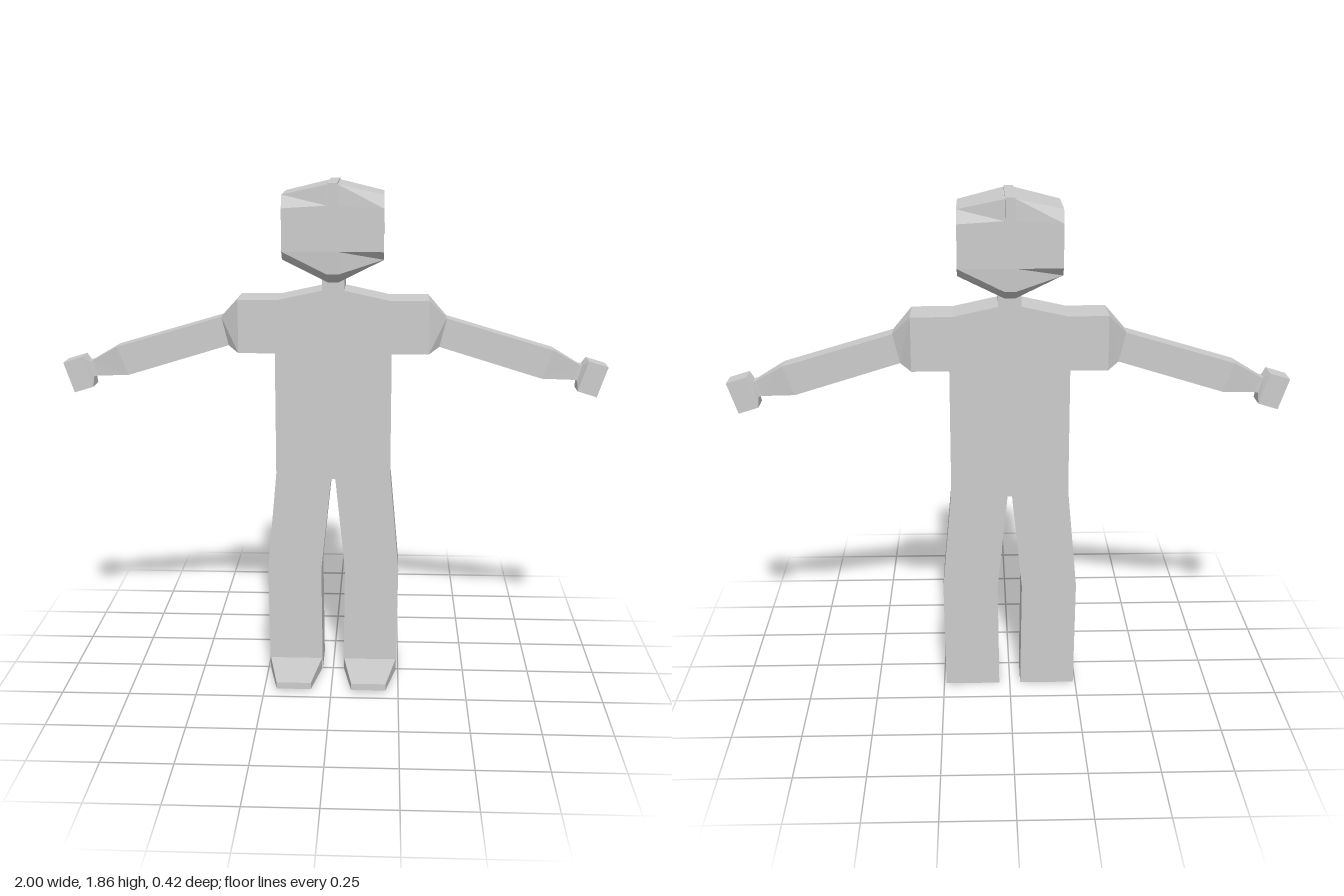
import * as THREE from 'three';

const grey = new THREE.MeshStandardMaterial({ color: 0xcccccc, flatShading: true });
grey.name = 'plain grey';

// Skin a row of equal-sized cross-sections and cap both ends
function loft(name, sections) {
  const tris = [];
  const n = sections[0].length;
  for (let s = 0; s < sections.length - 1; s++) {
    const a = sections[s], b = sections[s + 1];
    for (let i = 0; i < n; i++) {
      const j = (i + 1) % n;
      tris.push([a[i], a[j], b[j]], [a[i], b[j], b[i]]);
    }
  }
  const first = sections[0], last = sections[sections.length - 1];
  for (let i = 1; i < n - 1; i++) {
    tris.push([first[0], first[i + 1], first[i]], [last[0], last[i], last[i + 1]]);
  }
  // Turn every face outwards when the enclosed volume is negative
  const v = (p) => new THREE.Vector3(...p);
  const volume = tris.reduce((sum, [a, b, c]) => sum + v(a).dot(v(b).cross(v(c))), 0);
  if (volume < 0) tris.forEach((t) => t.reverse());
  const geometry = new THREE.BufferGeometry();
  geometry.setAttribute('position', new THREE.Float32BufferAttribute(tris.flat(2), 3));
  geometry.computeVertexNormals();
  const mesh = new THREE.Mesh(geometry, grey);
  mesh.name = name;
  return mesh;
}

// Torso, neck, shoulders and legs: one mirrored outline
function makeBody() {
  const half = [
    [0.04, 1.53], [0.04, 1.475], [0.2, 1.44], [0.345, 1.44], [0.345, 1.245], [0.212, 1.245],
    [0.212, 0.79], [0.247, 0.41], [0.242, 0], [0.04, 0], [0.045, 0.41], [0.008, 0.77],
  ];
  const outline = [...half, ...half.map(([x, y]) => [-x, y]).reverse()];
  const shape = new THREE.Shape(outline.map(([x, y]) => new THREE.Vector2(x, y)));
  const geometry = new THREE.ExtrudeGeometry(shape, { depth: 0.16, bevelEnabled: false });
  geometry.translate(0, 0, -0.15);
  const body = new THREE.Mesh(geometry, grey);
  body.name = 'body';
  return body;
}

// Arm section: top point, bottom point, front and back depth
function makeArm(side, name) {
  const rows = [
    [0.345, 1.44, 0.345, 1.245, 0.01, -0.15],
    [0.41, 1.37, 0.385, 1.265, -0.035, -0.11],
    [0.8, 1.255, 0.76, 1.15, -0.035, -0.11],
    [0.895, 1.2, 0.88, 1.143, -0.052, -0.095],
    [0.908, 1.197, 0.892, 1.14, -0.052, -0.095],
    [0.928, 1.217, 0.892, 1.105, -0.03, -0.112],
    [1.0, 1.195, 0.963, 1.083, -0.03, -0.112],
  ];
  return loft(name, rows.map(([tx, ty, bx, by, zf, zb]) => [
    [side * tx, ty, zf], [side * tx, ty, zb], [side * bx, by, zb], [side * bx, by, zf],
  ]));
}

// Tapered slab in front of the leg
function makeFoot(side, name) {
  const rows = [[0.042, 0.242, 0, 0.045, 0.005], [0.075, 0.203, 0.012, 0.037, 0.21]];
  return loft(name, rows.map(([x0, x1, y0, y1, z]) => [
    [side * x0, y0, z], [side * x1, y0, z], [side * x1, y1, z], [side * x0, y1, z],
  ]));
}

// Faceted head, skinned from side to side
function makeHead() {
  const group = new THREE.Group();
  group.name = 'head';
  const outer = [[0.11, 1.815], [0.14, 1.77], [0.14, 1.62], [0.11, 1.59], [0.1, 1.588]];
  const inner = [[0.138, 1.852], [0.14, 1.78], [0.14, 1.62], [0.135, 1.54], [0.08, 1.505]];
  const ring = (x, half) => [
    ...half.map(([d, y]) => [x, y, -0.07 + d]),
    ...half.map(([d, y]) => [x, y, -0.07 - d]).reverse(),
  ];
  group.add(loft('skull', [ring(-0.18, outer), ring(-0.02, inner), ring(0.02, inner), ring(0.18, outer)]));

  // Narrow crest along the middle
  const crest = new THREE.Mesh(new THREE.BoxGeometry(0.034, 0.08, 0.284), grey);
  crest.name = 'crest';
  crest.position.set(0, 1.818, -0.07);
  group.add(crest);
  return group;
}

export function createModel() {
  const model = new THREE.Group();
  model.name = 'figure';
  model.add(makeBody(), makeHead());
  for (const [side, label] of [[1, 'left'], [-1, 'right']]) {
    model.add(makeArm(side, label + 'Arm'), makeFoot(side, label + 'Foot'));
  }
  return model;
}
